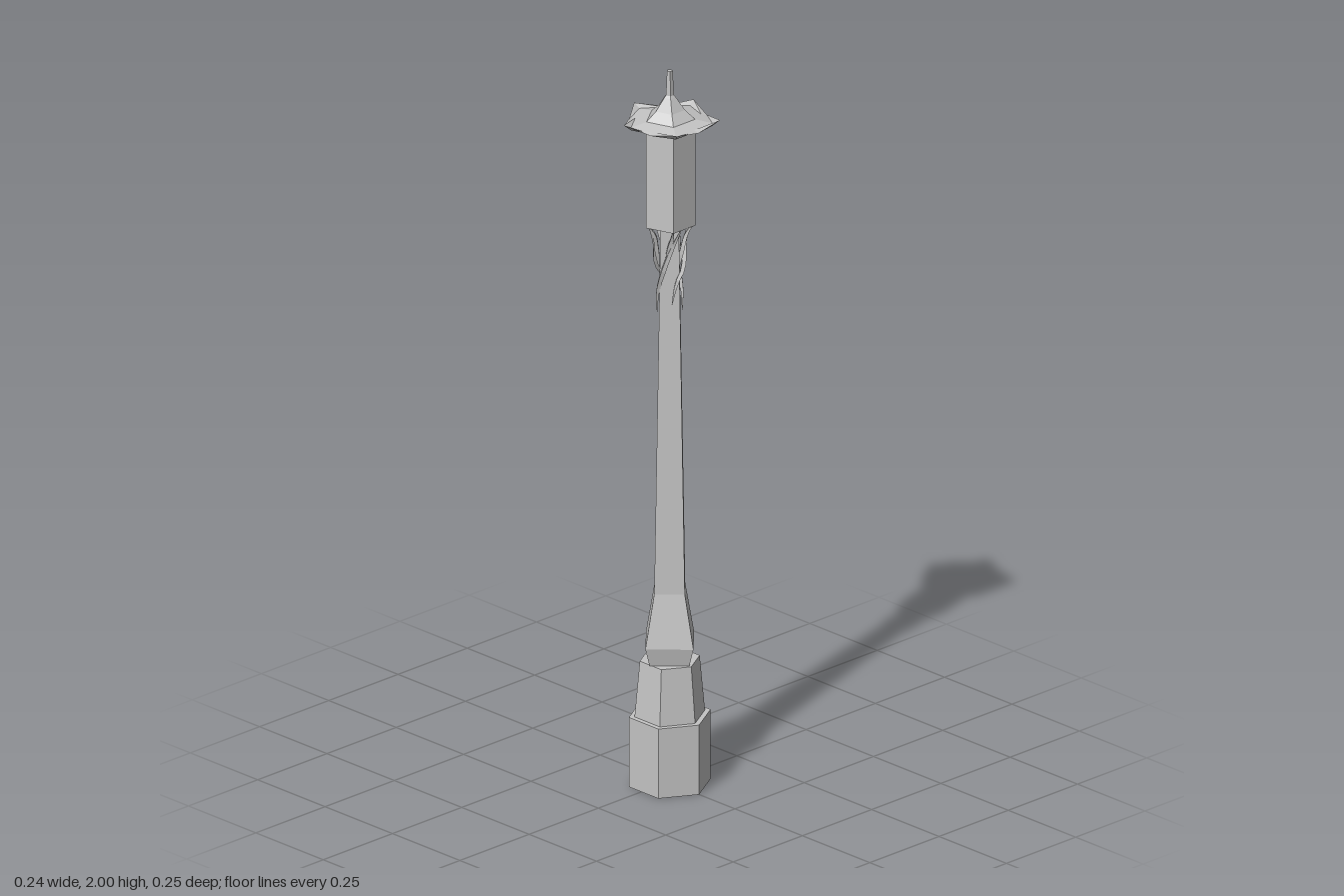
import * as THREE from 'three';

const stone = new THREE.MeshStandardMaterial({ color: 0xc4c4c4 });
stone.name = 'grey stone';

// Faceted mesh: split the faces so that each has its own normal
function facet(name, geometry) {
  const g = geometry.toNonIndexed();
  g.computeVertexNormals();
  const mesh = new THREE.Mesh(g, stone);
  mesh.name = name;
  return mesh;
}

// Prism with one corner towards -x, from [radius, y] pairs listed upwards
function turned(profile, sides) {
  const points = profile.map(([r, y]) => new THREE.Vector2(r, y));
  return new THREE.LatheGeometry(points, sides, -Math.PI / 2, Math.PI * 2);
}

// Tapered strand from [angle, radius, y, thickness] knots
function strand(knots) {
  const curve = new THREE.CatmullRomCurve3(
    knots.map(([a, r, y]) => new THREE.Vector3(r * Math.sin(a), y, r * Math.cos(a))));
  const steps = 10, sides = 4;
  const g = new THREE.TubeGeometry(curve, steps, 1, sides);
  const p = g.attributes.position, v = new THREE.Vector3();
  for (let i = 0; i <= steps; i++) {
    const c = curve.getPointAt(i / steps);
    const k = (i / steps) * (knots.length - 1);
    const n = Math.min(Math.floor(k), knots.length - 2);
    const thick = THREE.MathUtils.lerp(knots[n][3], knots[n + 1][3], k - n);
    for (let j = 0; j <= sides; j++) {
      const id = i * (sides + 1) + j;
      v.fromBufferAttribute(p, id).sub(c).multiplyScalar(thick).add(c);
      p.setXYZ(id, v.x, v.y, v.z);
    }
  }
  return g;
}

// Five-sided roof with upturned eave corners and a spire
function roofGeometry() {
  const profile = [
    [0.055, 1.853], [0.112, 1.853], [0.132, 1.856], [0.112, 1.86], [0.067, 1.868],
    [0.04, 1.892], [0.016, 1.926], [0.011, 1.932], [0.008, 2], [0, 2],
  ];
  const g = turned(profile, 10);
  const p = g.attributes.position;
  for (let i = 0; i <= 10; i++) {
    for (let j = 0; j < profile.length; j++) {
      const id = i * profile.length + j;
      if (i % 2) {
        // Pull the in-between columns onto the straight pentagon edges
        const s = Math.cos(Math.PI / 5);
        p.setX(id, p.getX(id) * s);
        p.setZ(id, p.getZ(id) * s);
      } else if (j === 2) {
        p.setY(id, 1.87);
      }
    }
  }
  return g;
}

export function createModel() {
  const model = new THREE.Group();
  model.name = 'lampPost';
  const post = new THREE.Group();
  post.name = 'post';
  post.position.x = 0.008;
  model.add(post);

  // Six-sided plinth in two tiers
  post.add(facet('lowerPlinth', turned([[0, 0], [0.109, 0], [0.109, 0.195], [0, 0.195]], 6)));
  post.add(facet('upperPlinth', turned([[0, 0.19], [0.094, 0.195], [0.08, 0.35], [0, 0.35]], 6)));

  // Square tapering column, set corner-on
  post.add(facet('column', turned([
    [0, 0.345], [0.073, 0.35], [0.088, 0.4], [0.056, 0.545], [0.037, 1.4], [0.034, 1.575], [0, 1.575],
  ], 4)));

  // Five-sided lantern
  post.add(facet('lantern', turned([[0, 1.57], [0.068, 1.57], [0.068, 1.857], [0, 1.857]], 5)));
  post.add(facet('roof', roofGeometry()));

  // Strands winding up the top of the column
  const vines = new THREE.Group();
  vines.name = 'vines';
  for (let i = 0; i < 4; i++) {
    const a = i * Math.PI / 2 - 0.6;
    const drop = (i % 2) * 0.03;
    vines.add(facet('windingVine', strand([
      [a, 0.033, 1.325 + drop, 0.001],
      [a + 0.35, 0.036, 1.385 + drop, 0.006],
      [a + 0.95, 0.038, 1.45, 0.008],
      [a + 1.6, 0.04, 1.52, 0.007],
      [a + 1.9, 0.06, 1.572, 0.002],
    ])));
  }
  // Short hooks reaching out under the lantern corners
  for (let i = 0; i < 5; i++) {
    const a = -Math.PI / 2 + i * Math.PI * 2 / 5;
    vines.add(facet('hook', strand([
      [a - 0.5, 0.028, 1.45, 0.002],
      [a - 0.2, 0.036, 1.51, 0.008],
      [a, 0.044, 1.545, 0.007],
      [a, 0.062, 1.574, 0.002],
    ])));
  }
  post.add(vines);
  return model;
}
